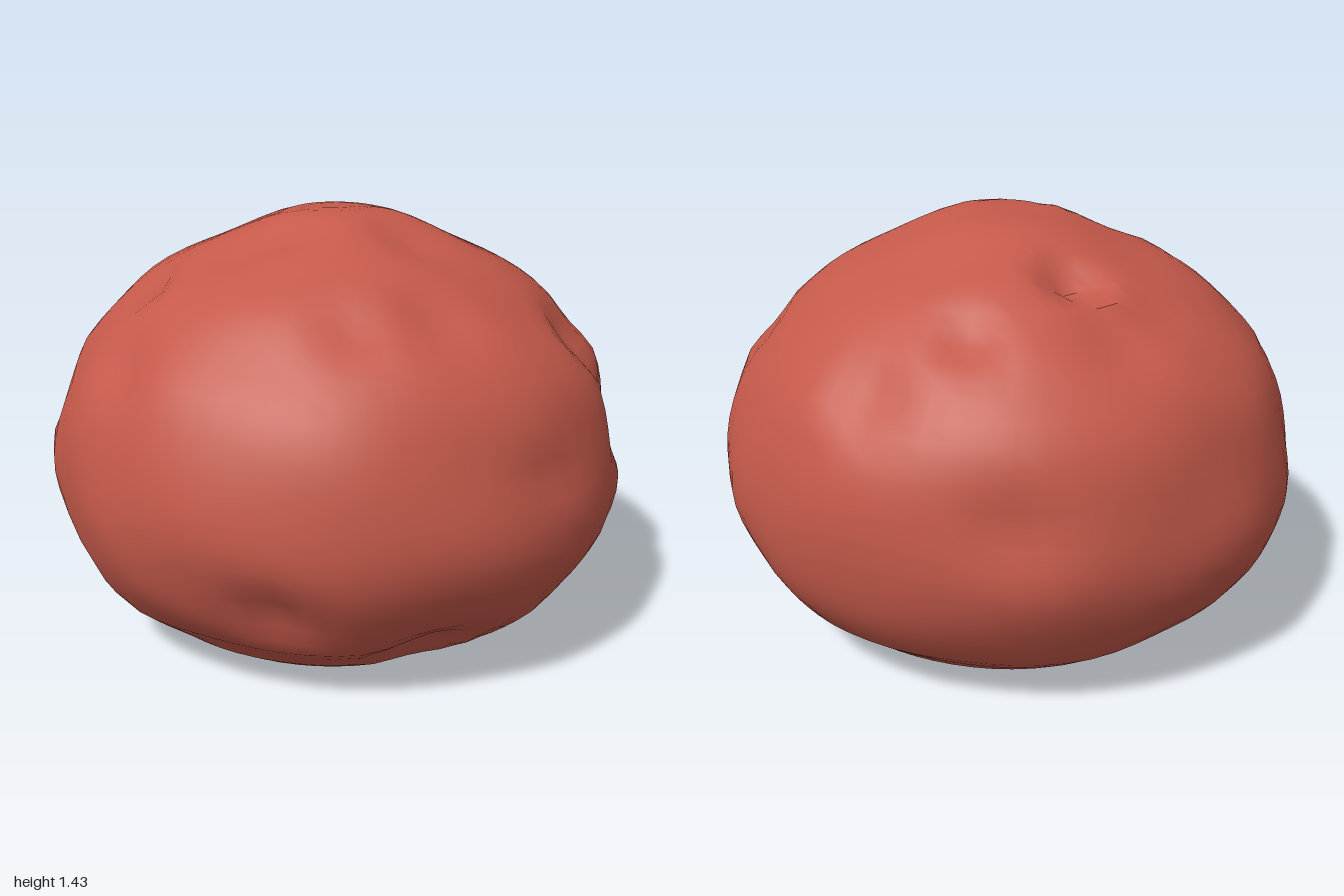
import * as THREE from 'three';
import { mergeVertices, toCreasedNormals } from 'three/addons/utils/BufferGeometryUtils.js';

// Dents: x, y, z, reach, depth
const DENTS = [
  // front
  [-0.05, 0.72, 0.96, 0.10, 0.03], [0.55, 0.73, 0.78, 0.20, 0.06], [0.42, 1.04, 0.73, 0.18, 0.06],
  [0.73, 0.36, 0.60, 0.13, 0.05], [-0.28, 0.13, 0.74, 0.24, 0.06], [-0.45, 1.15, 0.52, 0.16, 0.04],
  [-0.22, 1.17, 0.64, 0.16, 0.04], [0.00, 1.35, 0.32, 0.15, 0.03], [0.62, 1.05, 0.55, 0.15, 0.03],
  // crown
  [-0.38, 1.35, -0.08, 0.20, 0.04], [-0.27, 1.39, 0.08, 0.16, 0.04], [0.17, 1.32, -0.45, 0.15, 0.09],
  [0.57, 1.20, -0.38, 0.14, 0.05], [-0.58, 1.22, -0.30, 0.16, 0.04],
  // right side
  [-0.80, 0.33, 0.53, 0.18, 0.05], [-0.72, 0.80, -0.64, 0.17, 0.08], [-0.86, 1.00, -0.10, 0.16, 0.04],
  [-0.85, 0.30, -0.38, 0.15, 0.04], [-0.72, 0.10, -0.30, 0.15, 0.03],
  // left side and back
  [0.80, 1.02, -0.20, 0.17, 0.05], [0.68, 0.68, -0.68, 0.18, 0.04], [0.20, 1.14, -0.66, 0.17, 0.04],
  [-0.55, 0.30, -0.77, 0.16, 0.05], [0.00, 1.18, -0.64, 0.14, 0.03],
  // cleft across the underside
  [-0.40, 0.02, -0.10, 0.17, 0.06], [-0.15, 0.04, -0.10, 0.20, 0.07], [0.12, 0.04, -0.10, 0.20, 0.07],
  [0.34, 0.02, -0.10, 0.17, 0.05],
];

// Shallow hollows between the high points of the crumpled surface
function hollows(x, y, z) {
  const broad = Math.sin(7 * x + 3 * y + 1) * Math.sin(6 * z - 4 * y);
  const fine = Math.sin(13 * x - 9 * z + 2) * Math.sin(11 * y + 5 * z);
  return 0.013 + 0.008 * broad + 0.006 * fine;
}

export function createModel() {
  const group = new THREE.Group();
  const red = new THREE.MeshStandardMaterial({ color: 0xc4594a });
  red.name = 'brick red';

  // Domed profile, turned round the y axis, with a broad base hollowed in the middle
  const profile = new THREE.SplineCurve([
    [0, 0.04], [0.25, 0.025], [0.42, 0.002], [0.55, 0.008], [0.65, 0.045], [0.79, 0.145], [0.86, 0.21],
    [0.955, 0.36], [1.0, 0.52], [0.99, 0.68], [0.935, 0.88], [0.845, 1.03], [0.635, 1.22],
    [0.42, 1.34], [0.2, 1.43], [0, 1.44],
  ].map(([r, y]) => new THREE.Vector2(r, y)));
  const points = profile.getSpacedPoints(44);
  points[0].x = points[44].x = 0;

  let geometry = new THREE.LatheGeometry(points, 64);
  geometry.deleteAttribute('uv');
  geometry.deleteAttribute('normal');
  geometry = mergeVertices(geometry, 1e-4);

  const position = geometry.attributes.position;
  const p = new THREE.Vector3();
  const inward = new THREE.Vector3();
  for (let i = 0; i < position.count; i++) {
    p.fromBufferAttribute(position, i);

    // The belly is widest low down in z and higher up in x
    const height = (p.y - 0.6) / 0.3;
    const swell = Math.abs(height) < 1 ? 0.008 * Math.sin(Math.PI * height) : 0;
    p.x *= 1 + swell;
    p.z *= 1 - swell;

    // Push the surface in at each dent, towards the middle of the body
    let push = hollows(p.x, p.y, p.z) * (p.y < 0.1 ? 0.4 : 1);
    for (const [x, y, z, reach, depth] of DENTS) {
      const d = Math.hypot(p.x - x, p.y - y, p.z - z) / reach;
      push += depth * Math.max(0, 1 - d);
    }
    inward.set(-p.x, 0.6 - p.y, -p.z).normalize();
    p.addScaledVector(inward, push);
    position.setXYZ(i, p.x, p.y, p.z);
  }

  const body = new THREE.Mesh(toCreasedNormals(geometry, 0.6), red);
  body.name = 'lumpyBody';
  group.add(body);
  return group;
}
